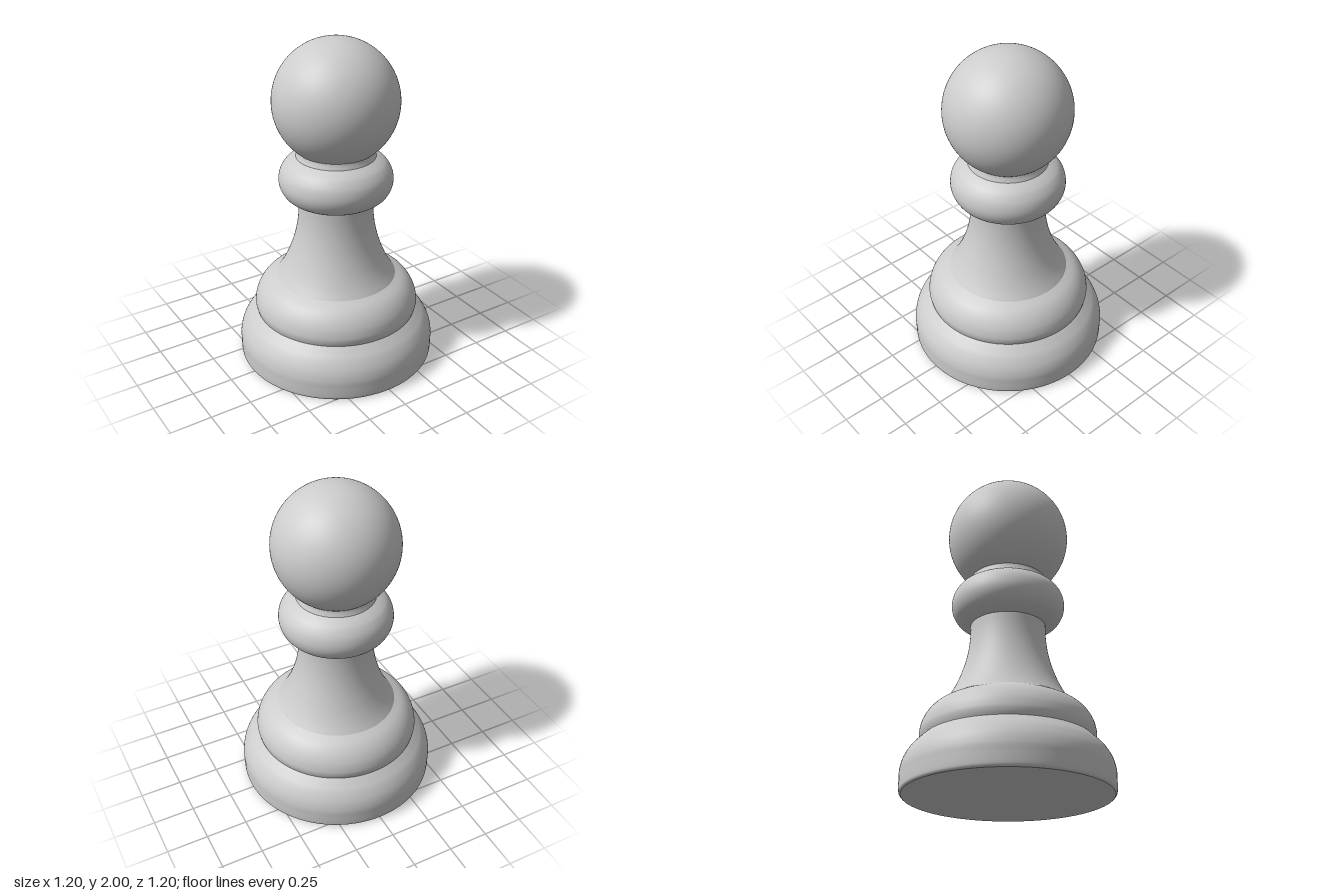
import * as THREE from 'three';

const SIDES = 96;

export function createModel() {
  const model = new THREE.Group();
  const grey = new THREE.MeshStandardMaterial({ color: 0xcccccc });
  grey.name = 'light grey';

  function add(name, geometry) {
    const mesh = new THREE.Mesh(geometry, grey);
    mesh.name = name;
    model.add(mesh);
    return mesh;
  }

  // Turned part: smooth curve through [radius, height] points, bottom to top
  function turned(name, profile) {
    const curve = new THREE.SplineCurve(profile.map(([r, y]) => new THREE.Vector2(r, y)));
    return add(name, new THREE.LatheGeometry(curve.getPoints(profile.length * 5), SIDES));
  }

  // Flat underside
  const underside = add('underside', new THREE.CircleGeometry(0.588, SIDES));
  underside.rotation.x = Math.PI / 2;

  // Two stacked, rounded tiers
  turned('base', [
    [0.588, 0], [0.597, 0.01], [0.6, 0.03], [0.601, 0.08], [0.6, 0.13],
    [0.586, 0.185], [0.555, 0.24], [0.52, 0.278], [0.492, 0.305],
  ]);
  turned('upperTier', [
    [0.492, 0.305], [0.499, 0.33], [0.5, 0.36], [0.488, 0.41],
    [0.46, 0.46], [0.42, 0.5], [0.364, 0.532],
  ]);

  // Flaring stem
  turned('stem', [
    [0.364, 0.532], [0.33, 0.585], [0.293, 0.66], [0.257, 0.76],
    [0.234, 0.86], [0.224, 0.95], [0.223, 1.025],
  ]);

  // Bulging collar and the short neck above it
  turned('collar', [
    [0.223, 1.025], [0.255, 1.036], [0.3, 1.066], [0.328, 1.11], [0.338, 1.16],
    [0.328, 1.215], [0.3, 1.26], [0.27, 1.285], [0.235, 1.305],
  ]);
  turned('neck', [[0.235, 1.305], [0.228, 1.325], [0.223, 1.345], [0.212, 1.36]]);

  // Ball head
  const head = add('head', new THREE.SphereGeometry(0.368, SIDES, 48, 0, Math.PI * 2, 0, 2.5));
  head.position.y = 1.632;

  return model;
}
